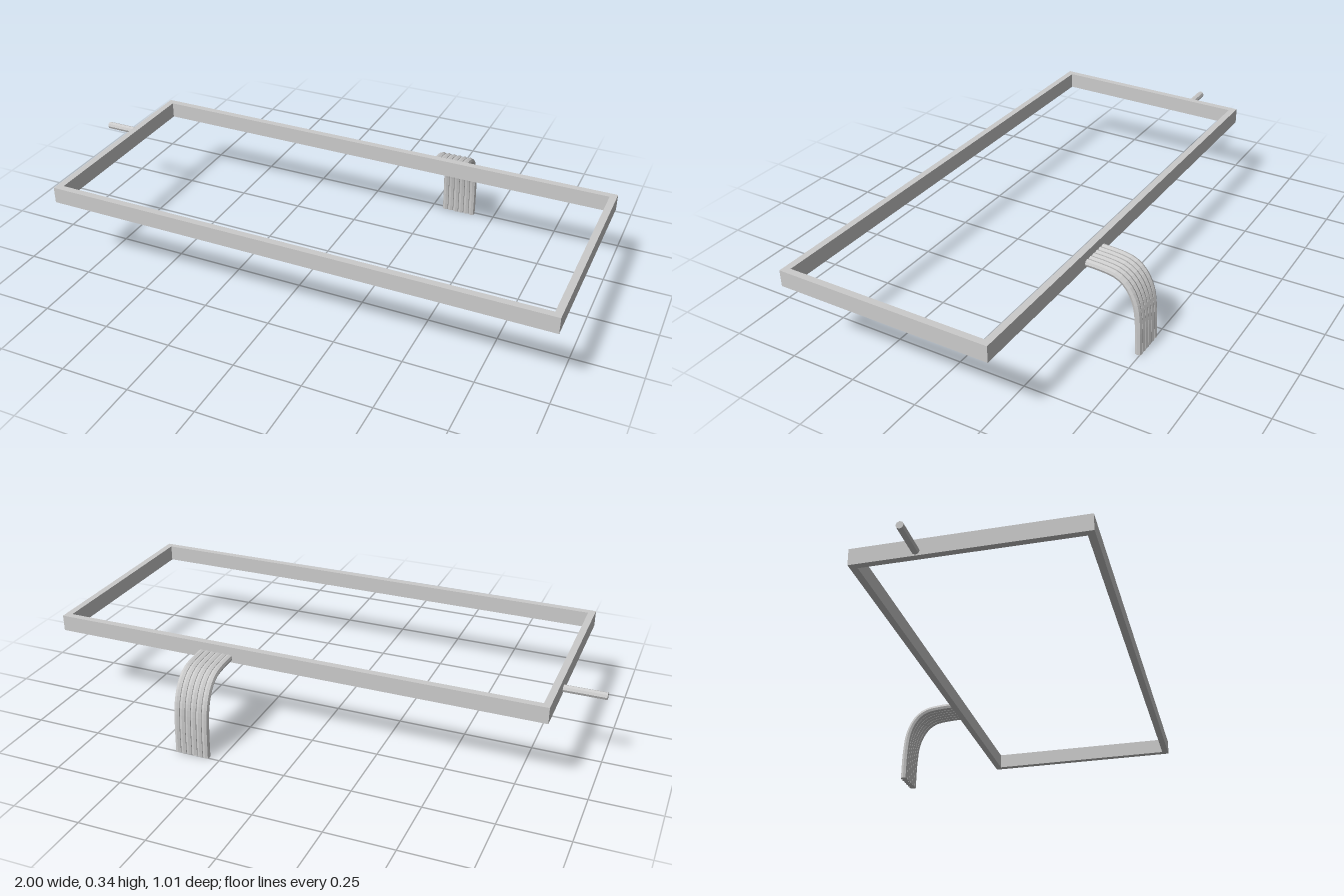
import * as THREE from 'three';

const material = new THREE.MeshStandardMaterial({ color: 0xcccccc, flatShading: true, side: THREE.DoubleSide });
const CABLE_RADIUS = 0.0135;
const SIDES = 8;

function addMesh(parent, name, geometry) {
  const mesh = new THREE.Mesh(geometry, material);
  mesh.name = name;
  parent.add(mesh);
  return mesh;
}

// Rectangular frame with an open centre
function frameGeometry(x0, x1, z0, z1, wall, height) {
  const rectangle = (inset) => [
    new THREE.Vector2(x0 + inset, -z1 + inset),
    new THREE.Vector2(x1 - inset, -z1 + inset),
    new THREE.Vector2(x1 - inset, -z0 - inset),
    new THREE.Vector2(x0 + inset, -z0 - inset),
  ];
  const shape = new THREE.Shape(rectangle(0));
  shape.holes.push(new THREE.Path(rectangle(wall).reverse()));
  return new THREE.ExtrudeGeometry(shape, { depth: height, bevelEnabled: false }).rotateX(-Math.PI / 2);
}

export function createModel() {
  const model = new THREE.Group();
  model.name = 'frameWithCables';

  const frame = addMesh(model, 'frame', frameGeometry(-0.85, 1, -0.29, 0.505, 0.025, 0.06));
  frame.position.y = 0.28;

  // Straight rod at the right-hand end
  const rod = new THREE.CylinderGeometry(CABLE_RADIUS, CABLE_RADIUS, 0.15, SIDES).rotateZ(Math.PI / 2);
  addMesh(model, 'sideRod', rod).position.set(-0.925, 0.297, -0.063);

  // Row of cables leaving the back rail and bending down to the ground
  const path = new THREE.CatmullRomCurve3([
    [0.297, -0.29], [0.294, -0.35], [0.286, -0.4], [0.266, -0.434],
    [0.234, -0.459], [0.187, -0.478], [0.11, -0.488], [0, -0.492],
  ].map(([y, z]) => new THREE.Vector3(0, y, z)));
  const tube = new THREE.TubeGeometry(path, 20, CABLE_RADIUS, SIDES);
  const cap = new THREE.CircleGeometry(CABLE_RADIUS, SIDES).rotateX(Math.PI / 2);
  const ribbon = new THREE.Group();
  ribbon.name = 'cableRibbon';
  model.add(ribbon);
  for (let i = 0; i < 6; i++) {
    const x = 0.3035 + i * 0.0216;
    addMesh(ribbon, 'cable', tube).position.x = x;
    addMesh(ribbon, 'cableEnd', cap).position.set(x, 0, -0.492);
  }

  return model;
}
